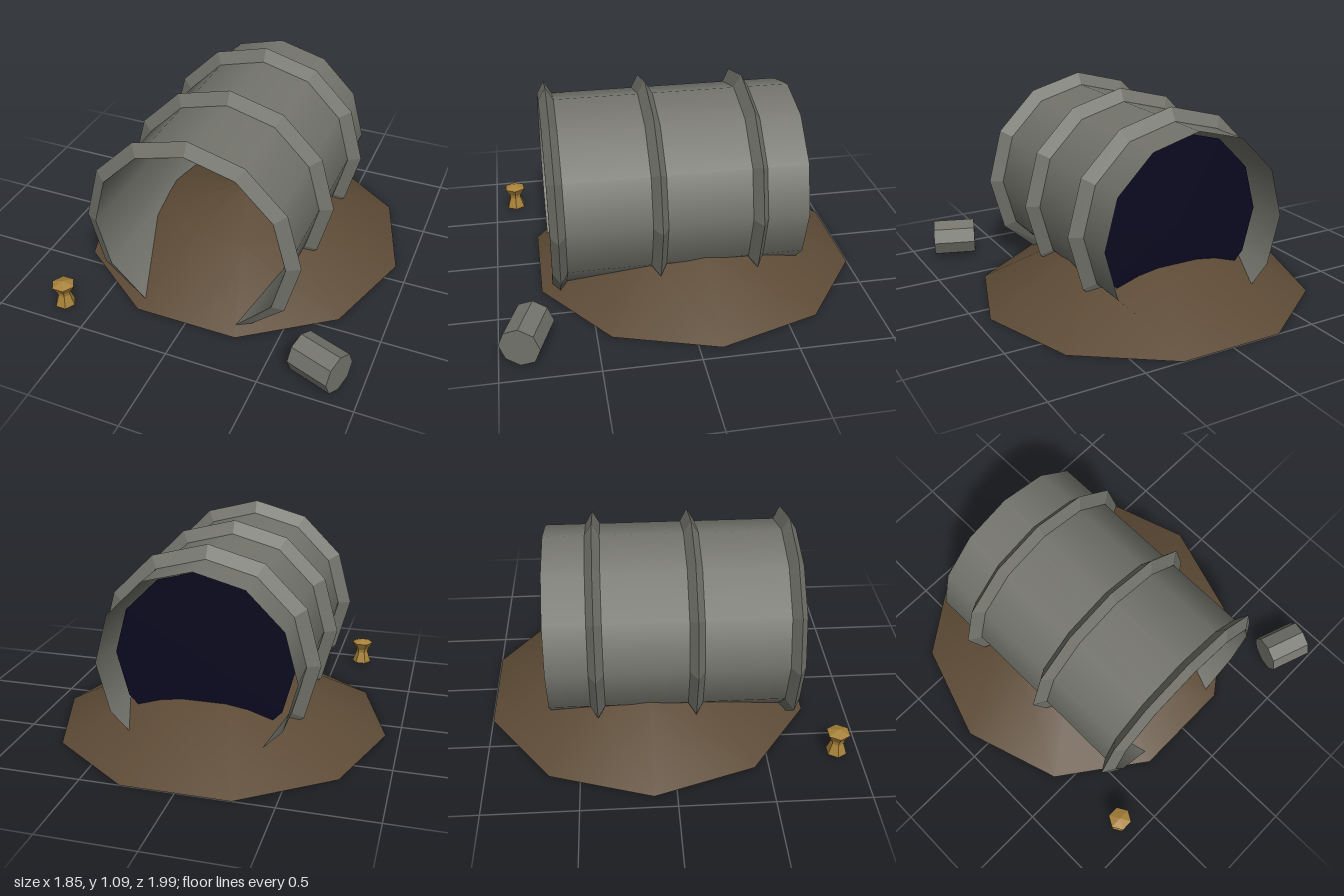
import * as THREE from 'three';

const CENTRE_Y = 0.49; // height of the tunnel axis

// Flatten everything that would sink below the ground
function flattenBase(geometry) {
  const p = geometry.attributes.position;
  for (let i = 0; i < p.count; i++) p.setY(i, Math.max(0, p.getY(i)));
  return geometry;
}

function lathe(points, sides) {
  return new THREE.LatheGeometry(points.map(([r, y]) => new THREE.Vector2(r, y)), sides, Math.PI / 2);
}

export function createModel() {
  const group = new THREE.Group();
  const material = (name, color, options = {}) =>
    Object.assign(new THREE.MeshStandardMaterial({ color, ...options }), { name });

  const stone = material('stoneGrey', 0x74746d, { side: THREE.DoubleSide });
  const stoneFlat = material('stoneGrey', 0x74746d, { flatShading: true });
  const earth = material('earthBrown', 0x5c4a35, { side: THREE.DoubleSide });
  const dark = material('darkBlue', 0x0a0a20, { side: THREE.DoubleSide });
  const brass = material('brass', 0xa8823a, { flatShading: true });

  const add = (name, geometry, mat) => {
    const mesh = new THREE.Mesh(geometry, mat);
    mesh.name = name;
    group.add(mesh);
    return mesh;
  };

  // Earth mound, a low ten-sided dome
  add('mound', lathe([[0.925, 0], [0.4625, 0.24], [0, 0.355]], 10), earth).position.z = -0.12;

  // Tunnel shell, open at both ends
  const shell = new THREE.CylinderGeometry(0.53, 0.53, 1.365, 12, 1, true)
    .rotateX(Math.PI / 2).translate(0, CENTRE_Y, 0.018);
  add('tunnelShell', flattenBase(shell), stone);

  // Ridged ribs around the shell
  for (const z of [0.66, 0.13, -0.4]) {
    const rib = new THREE.TorusGeometry(0.554, 0.046, 3, 12).translate(0, CENTRE_Y, z);
    add('rib', flattenBase(rib), stoneFlat);
  }

  // Dark wall closing off the tunnel near the back
  add('darkWall', new THREE.CircleGeometry(0.485, 12), dark).position.set(0, CENTRE_Y, -0.49);

  // Loose stone drum lying in front
  const drum = add('drum', new THREE.CylinderGeometry(0.108, 0.108, 0.24, 8).rotateZ(Math.PI / 2), stoneFlat);
  drum.position.set(0.775, 0.108, 0.852);
  drum.rotation.y = -0.34;

  // Small brass hourglass-shaped stand
  const stand = [[0, 0.01], [0.058, 0.02], [0.035, 0.085], [0.038, 0.105], [0.065, 0.15], [0, 0.172]];
  add('brassStand', lathe(stand, 6), brass).position.set(-0.665, 0, 0.877);

  return group;
}
